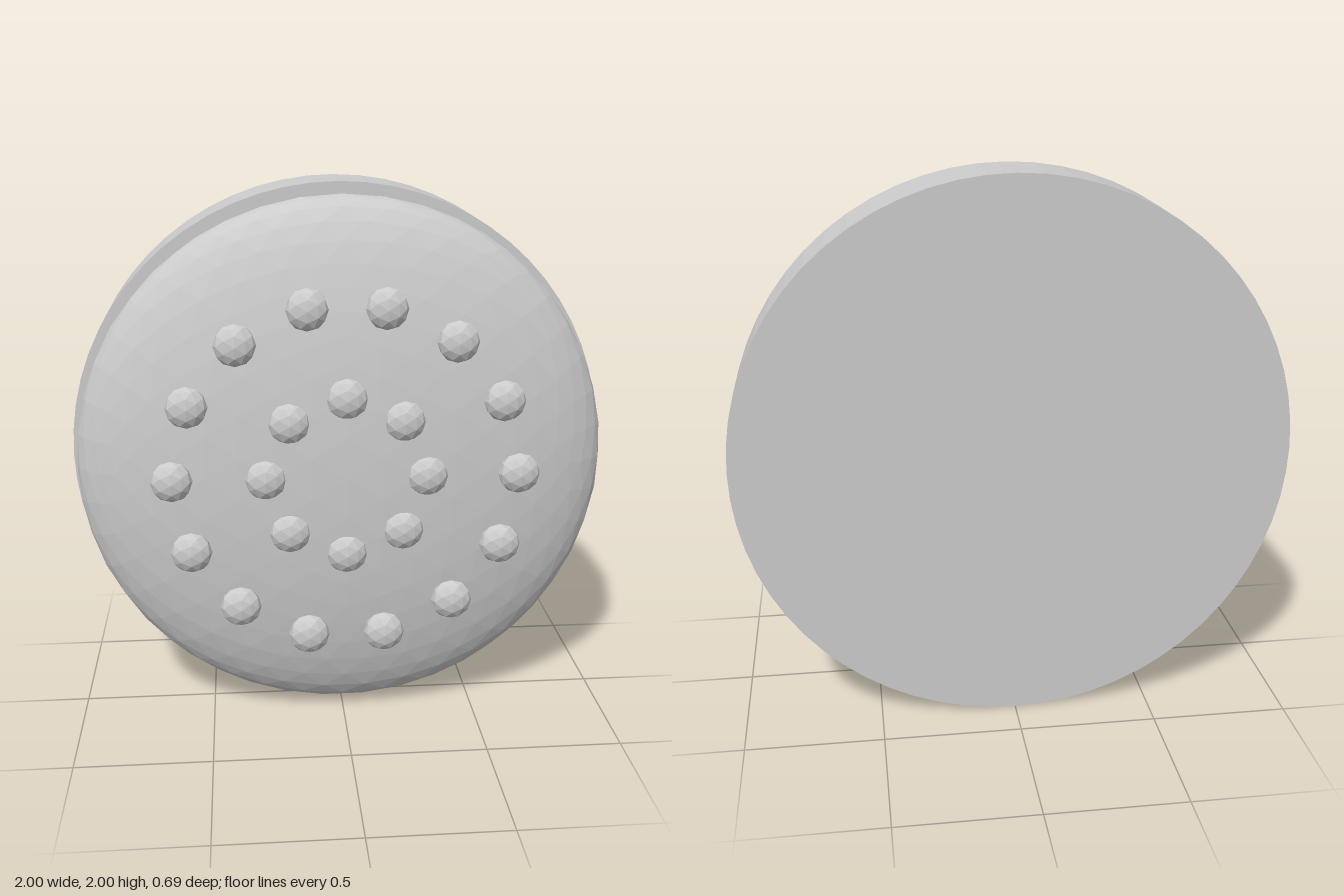
import * as THREE from 'three';

const material = new THREE.MeshStandardMaterial({ color: 0xcccccc, flatShading: true });

function part(name, geometry, x, y, z) {
  const mesh = new THREE.Mesh(geometry, material);
  mesh.name = name;
  mesh.position.set(x, y, z);
  return mesh;
}

// Faceted sphere squashed along z
function flatSphere(radius, depth, detail) {
  return new THREE.IcosahedronGeometry(1, detail).scale(radius, radius, depth);
}

// Ring of evenly spaced studs facing the front
function studRing(name, count, radius, geometry) {
  const ring = new THREE.Group();
  ring.name = name;
  for (let i = 0; i < count; i++) {
    const a = (i / count) * Math.PI * 2;
    ring.add(part('stud', geometry, radius * Math.cos(a), 1 + radius * Math.sin(a), 0.298));
  }
  return ring;
}

export function createModel() {
  const model = new THREE.Group();
  model.name = 'studdedDisc';

  // Round backing plate
  const plate = new THREE.CylinderGeometry(1, 1, 0.285, 64).rotateX(Math.PI / 2);
  model.add(part('backPlate', plate, 0, 1, -0.2025));

  // Bulging front cushion, sunk into the plate
  model.add(part('cushion', flatSphere(0.97, 0.235, 7), 0, 1, 0.083));

  // Two rings of studs
  const stud = flatSphere(0.075, 0.045, 1);
  model.add(studRing('outerStuds', 14, 0.62, stud));
  model.add(studRing('innerStuds', 8, 0.288, stud));

  return model;
}
